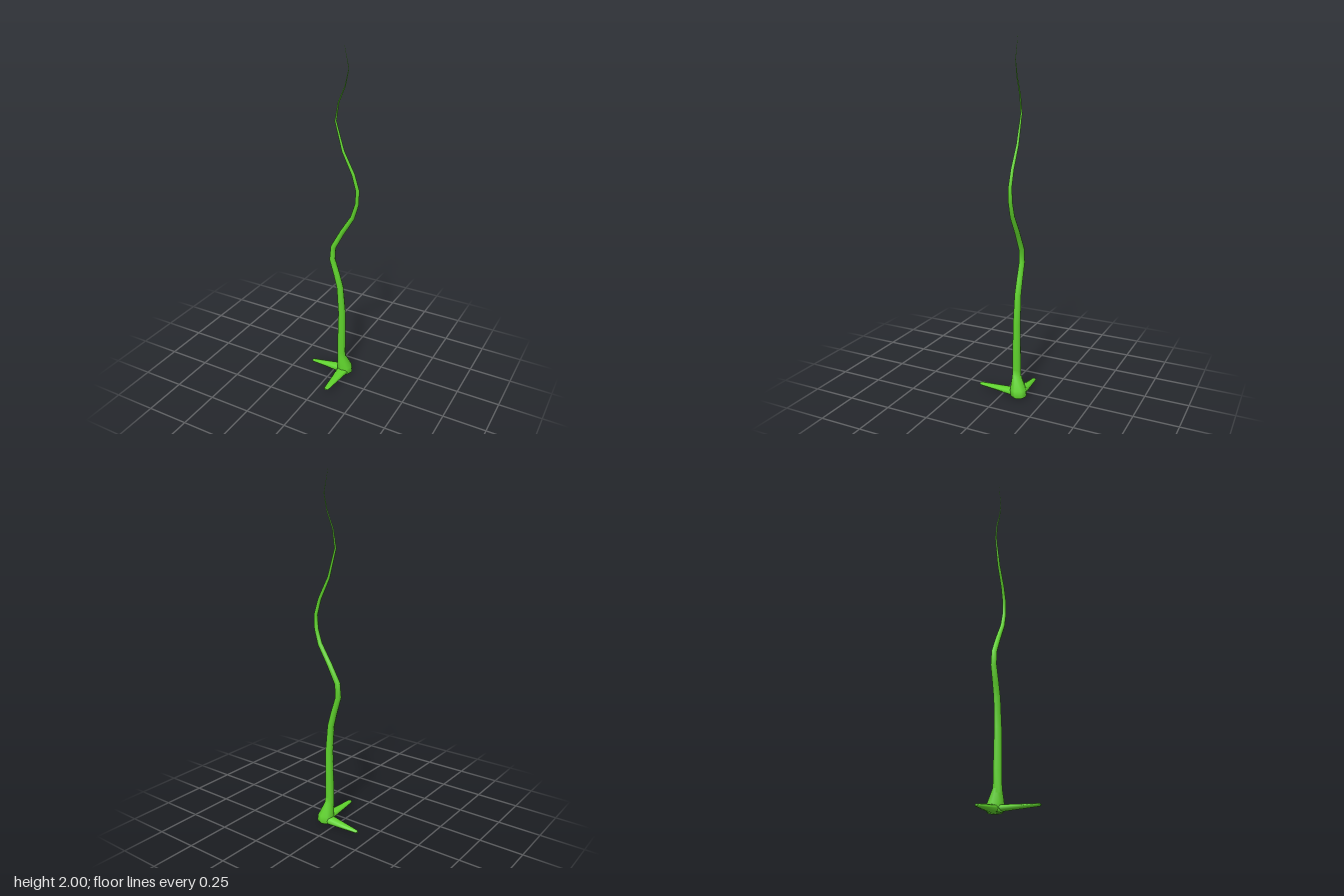
import * as THREE from 'three';

const SIDES = 8;
const X = new THREE.Vector3(1, 0, 0);
const Y = new THREE.Vector3(0, 1, 0);
const Z = new THREE.Vector3(0, 0, 1);
const material = new THREE.MeshStandardMaterial({ color: 0x5fd32c });

// Skins elliptical rings { c, u, v, ru, rv }; u x v points along the loft.
function loft(name, rings) {
  const positions = [];
  const index = [];
  const put = (p) => positions.push(p.x, p.y, p.z);
  const point = (r, j) => {
    const a = (j / SIDES) * Math.PI * 2;
    return r.c.clone()
      .addScaledVector(r.u, Math.cos(a) * r.ru)
      .addScaledVector(r.v, Math.sin(a) * r.rv);
  };
  rings.forEach((r, i) => {
    for (let j = 0; j < SIDES; j++) {
      put(point(r, j));
      if (i === rings.length - 1) continue;
      const a = i * SIDES + j;
      const b = i * SIDES + ((j + 1) % SIDES);
      index.push(a, b, a + SIDES, b, b + SIDES, a + SIDES);
    }
  });
  // Flat end caps with their own corners
  [rings[0], rings[rings.length - 1]].forEach((r, end) => {
    const start = positions.length / 3;
    for (let j = 0; j < SIDES; j++) put(point(r, j));
    for (let j = 1; j < SIDES - 1; j++) {
      if (end) index.push(start, start + j, start + j + 1);
      else index.push(start, start + j + 1, start + j);
    }
  });
  const geometry = new THREE.BufferGeometry();
  geometry.setAttribute('position', new THREE.Float32BufferAttribute(positions, 3));
  geometry.setIndex(index);
  geometry.computeVertexNormals();
  const mesh = new THREE.Mesh(geometry, material);
  mesh.name = name;
  return mesh;
}

// Builds rings from rows of [x, y, z, ru, rv] sharing the same axes.
const rows = (u, v, list) => list.map(([x, y, z, ru, rv]) => (
  { c: new THREE.Vector3(x, y, z), u, v, ru, rv }));

// Winding stem that thins to a point
function stem() {
  const path = [
    [0.055, 0.10], [0.055, 0.22], [0.056, 0.44], [0.042, 0.605], [0.02, 0.685],
    [-0.01, 0.78], [-0.004, 0.86], [0.053, 0.965], [0.115, 1.066], [0.14, 1.15],
    [0.143, 1.23], [0.115, 1.32], [0.053, 1.44], [0.006, 1.60], [0.022, 1.70],
    [0.06, 1.79], [0.08, 1.88], [0.053, 2.0],
  ].map(([x, y]) => new THREE.Vector3(x, y, -0.08));
  return loft('stem', path.map((c, i) => {
    const t = path[Math.min(i + 1, path.length - 1)].clone()
      .sub(path[Math.max(i - 1, 0)]).normalize();
    const r = Math.max(0.0004, 0.0255 * Math.min(1, (2 - c.y) / 1.78));
    return { c, u: Z, v: new THREE.Vector3(t.y, -t.x, 0), ru: r, rv: r };
  }));
}

export function createModel() {
  const group = new THREE.Group();
  group.name = 'plant';
  group.add(stem());

  // Swollen foot of the stem
  group.add(loft('base', rows(Z, X, [
    [0.07, 0.006, -0.10, 0.040, 0.040],
    [0.07, 0.018, -0.099, 0.049, 0.050],
    [0.07, 0.052, -0.096, 0.048, 0.046],
    [0.057, 0.125, -0.081, 0.027, 0.027],
    [0.055, 0.16, -0.08, 0.0255, 0.0255],
  ])));

  // Root reaching to the right
  group.add(loft('rightRoot', rows(Z, Y, [
    [0.08, 0.025, -0.10, 0.036, 0.024],
    [0.03, 0.023, -0.10, 0.034, 0.022],
    [-0.152, 0.010, -0.10, 0.012, 0.008],
    [-0.158, 0.010, -0.10, 0.008, 0.005],
  ])));

  // Root reaching to the front
  group.add(loft('frontRoot', rows(X, Y, [
    [0.07, 0.027, -0.11, 0.037, 0.021],
    [0.07, 0.029, -0.06, 0.036, 0.018],
    [0.07, 0.032, 0.140, 0.015, 0.008],
    [0.07, 0.032, 0.147, 0.008, 0.005],
  ])));

  return group;
}
